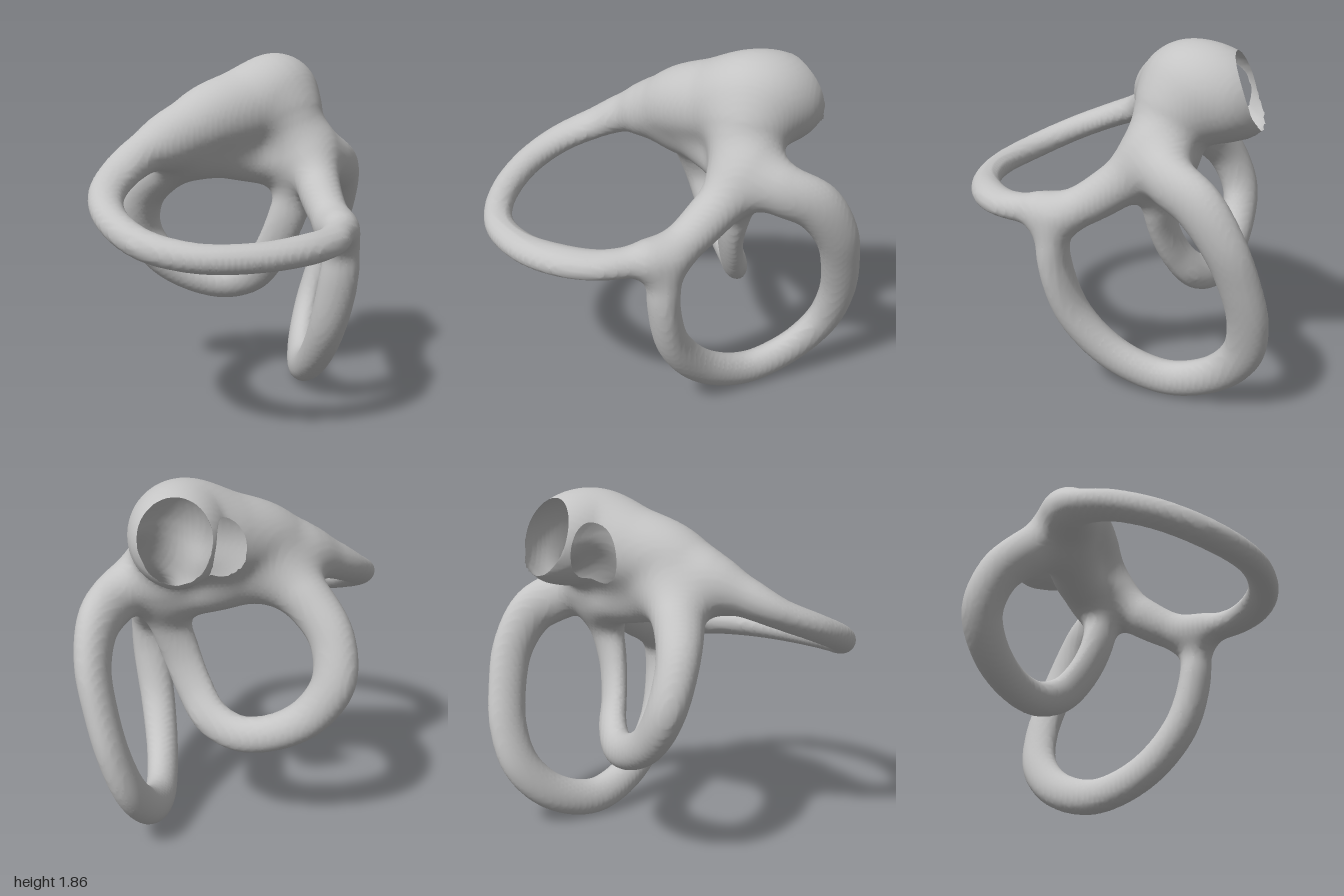
import * as THREE from 'three';
import { mergeVertices } from 'three/addons/utils/BufferGeometryUtils.js';

// Each part is a centreline of points [x, y, z, radius, flatness]; flatness scales the
// thickness along the part's plane normal. Parts melt together where they meet.
const PARTS = {
  centralChamber: {
    normal: [0, 1, 0],
    points: [
      [-0.28, 1.41, 0.2, 0.14], [-0.19, 1.5, 0, 0.2], [-0.11, 1.55, -0.2, 0.23],
      [-0.04, 1.61, -0.39, 0.25], [-0.1, 1.6, -0.5, 0.235], [-0.17, 1.56, -0.57, 0.175],
    ],
  },
  chamberFloor: {
    normal: [0, 1, 0],
    points: [
      [-0.27, 1.36, 0.04, 0.12], [-0.16, 1.32, -0.1, 0.13], [-0.05, 1.29, -0.24, 0.135],
      [0.08, 1.27, -0.34, 0.14], [0.2, 1.26, -0.37, 0.135],
    ],
  },
  sharedStem: {
    normal: [0, 1, 0],
    points: [
      [0.08, 1.48, -0.38, 0.18], [0.25, 1.26, -0.35, 0.13], [0.38, 1.115, -0.235, 0.112],
      [0.5, 1.025, -0.13, 0.1], [0.6, 1.0, -0.03, 0.08],
    ],
  },
  frontLoop: {
    normal: [0.315, 0.924, 0.215],
    points: [
      [-0.3, 1.41, 0.2, 0.13], [-0.335, 1.36, 0.36, 0.115, 0.9], [-0.345, 1.275, 0.54, 0.103, 0.75],
      [-0.265, 1.185, 0.74, 0.09, 0.8], [-0.1, 1.1, 0.875, 0.08, 0.9], [0.14, 1.02, 0.925, 0.076, 0.95],
      [0.4, 0.98, 0.85, 0.075, 0.9], [0.6, 0.975, 0.65, 0.078, 0.85], [0.7, 0.985, 0.42, 0.085, 0.8],
      [0.71, 0.99, 0.22, 0.083, 0.8], [0.64, 1.0, 0.02, 0.078],
    ],
  },
  lowerLoop: {
    normal: [-0.8, 0.26, 0.54],
    points: [
      [0.2, 1.34, -0.45, 0.13], [0.24, 1.26, -0.59, 0.135, 0.8], [0.2, 1.17, -0.76, 0.128, 0.75],
      [0.13, 0.99, -0.865, 0.114, 0.75], [0.05, 0.78, -0.895, 0.106, 0.75], [-0.02, 0.56, -0.885, 0.104, 0.75],
      [-0.05, 0.35, -0.815, 0.104, 0.75], [0.0, 0.18, -0.66, 0.102, 0.75], [0.14, 0.1, -0.44, 0.1, 0.8],
      [0.33, 0.2, -0.24, 0.096, 0.9], [0.495, 0.43, -0.11, 0.088, 1.1], [0.58, 0.7, -0.075, 0.082, 1.25],
      [0.595, 0.87, -0.08, 0.085, 1.1], [0.57, 0.97, -0.09, 0.09],
    ],
  },
  sideLoop: {
    normal: [0.375, -0.27, 0.89],
    points: [
      [-0.28, 1.35, 0.02, 0.15], [-0.47, 1.225, 0.055, 0.125], [-0.62, 1.07, 0.05, 0.115, 0.9],
      [-0.68, 0.87, 0, 0.112, 0.85], [-0.6, 0.69, -0.08, 0.103, 0.85], [-0.45, 0.58, -0.18, 0.095, 0.85],
      [-0.28, 0.547, -0.265, 0.094, 0.8], [-0.12, 0.605, -0.305, 0.098, 0.7], [-0.005, 0.735, -0.305, 0.1, 0.62],
      [0.085, 0.915, -0.315, 0.103, 0.65], [0.13, 1.1, -0.35, 0.11, 0.75], [0.1, 1.3, -0.39, 0.12],
    ],
  },
};

// Ellipsoids that cut the two openings in the rear of the chamber: centre, radii
const OPENINGS = [
  { c: new THREE.Vector3(-0.3, 1.7, -0.71), r: new THREE.Vector3(0.23, 0.27, 0.22) },
  { c: new THREE.Vector3(-0.35, 1.52, -0.37), r: new THREE.Vector3(0.15, 0.22, 0.115) },
];

const BLEND = 0.1;
const CELL = 0.02;
const STEPS = 8;

// Smooth centreline, radius and flatness, resampled into short segments
function makeChain({ points, normal }) {
  const path = new THREE.CatmullRomCurve3(points.map((p) => new THREE.Vector3(p[0], p[1], p[2])));
  const girth = new THREE.CatmullRomCurve3(
    points.map((p) => new THREE.Vector3(p[3], p[4] ?? 1, 0)), false, 'catmullrom');
  const n = (points.length - 1) * STEPS;
  const samples = Array.from({ length: n + 1 }, (_, i) => {
    const g = girth.getPoint(i / n);
    return [...path.getPoint(i / n).toArray(), g.x, 1 / (g.y * g.y) - 1];
  });
  return { samples, normal };
}

// Distance to a tapered chain of capsules with flattened cross-sections
function chainDistance({ samples, normal }, x, y, z) {
  let best = Infinity;
  for (let i = 0; i < samples.length - 1; i++) {
    const a = samples[i], b = samples[i + 1];
    const dx = b[0] - a[0], dy = b[1] - a[1], dz = b[2] - a[2];
    const px = x - a[0], py = y - a[1], pz = z - a[2];
    let t = (px * dx + py * dy + pz * dz) / (dx * dx + dy * dy + dz * dz);
    t = t < 0 ? 0 : t > 1 ? 1 : t;
    const ex = px - t * dx, ey = py - t * dy, ez = pz - t * dz;
    const across = ex * normal[0] + ey * normal[1] + ez * normal[2];
    const squash = (a[4] + t * (b[4] - a[4])) * across * across;
    const d = Math.sqrt(ex * ex + ey * ey + ez * ez + squash) - a[3] - t * (b[3] - a[3]);
    if (d < best) best = d;
  }
  return best;
}

function smoothMin(a, b) {
  const h = Math.max(BLEND - Math.abs(a - b), 0) / BLEND;
  return Math.min(a, b) - h * h * BLEND * 0.25;
}

// Skin a distance field with one vertex per crossed grid cell
function skinField(field, min, max) {
  const size = [0, 1, 2].map((a) => Math.ceil((max[a] - min[a]) / CELL) + 1);
  const step = [1, size[0], size[0] * size[1]];
  const values = new Float32Array(step[2] * size[2]);
  const cellVertex = new Int32Array(values.length).fill(-1);
  const positions = [], index = [];
  const eachCell = (from, to, visit) => {
    for (let k = from; k < size[2] - to; k++)
      for (let j = from; j < size[1] - to; j++)
        for (let i = from; i < size[0] - to; i++) visit([i, j, k], i + j * step[1] + k * step[2]);
  };
  eachCell(0, 0, (g, id) => {
    values[id] = field(min[0] + g[0] * CELL, min[1] + g[1] * CELL, min[2] + g[2] * CELL);
  });
  // vertex = mean of the crossings on the cell's twelve edges
  eachCell(0, 1, (g, id) => {
    const sum = [0, 0, 0];
    let count = 0;
    for (let a = 0; a < 3; a++) {
      const u = (a + 1) % 3, v = (a + 2) % 3;
      for (let c = 0; c < 4; c++) {
        const cu = c & 1, cv = c >> 1;
        const s = id + cu * step[u] + cv * step[v];
        const f0 = values[s], f1 = values[s + step[a]];
        if (f0 < 0 === f1 < 0) continue;
        sum[a] += f0 / (f0 - f1);
        sum[u] += cu;
        sum[v] += cv;
        count++;
      }
    }
    if (!count) return;
    cellVertex[id] = positions.length / 3;
    for (let a = 0; a < 3; a++) positions.push(min[a] + (g[a] + sum[a] / count) * CELL);
  });
  // one quad around every crossed grid edge
  eachCell(1, 1, (g, id) => {
    for (let a = 0; a < 3; a++) {
      const inside = values[id] < 0;
      if (inside === values[id + step[a]] < 0) continue;
      const u = step[(a + 1) % 3], v = step[(a + 2) % 3];
      const q = [id - u - v, id - v, id, id - u].map((c) => cellVertex[c]);
      if (!inside) q.reverse();
      index.push(q[0], q[1], q[2], q[0], q[2], q[3]);
    }
  });
  const geometry = new THREE.BufferGeometry();
  geometry.setAttribute('position', new THREE.Float32BufferAttribute(positions, 3));
  geometry.setIndex(index);
  geometry.computeVertexNormals();
  return geometry;
}

export function createModel() {
  const names = Object.keys(PARTS);
  const chains = names.map((name) => makeChain(PARTS[name]));
  const field = (x, y, z) => chains.reduce((d, c) => smoothMin(d, chainDistance(c, x, y, z)), 10);
  const skin = skinField(field, [-0.9, -0.08, -1.1], [0.9, 1.98, 1.1]);
  const pos = skin.attributes.position;
  // Find the opening each vertex falls in, and pull it out to the rim
  const p = new THREE.Vector3(), q = new THREE.Vector3();
  const cut = new Uint8Array(pos.count);
  for (let i = 0; i < pos.count; i++) {
    p.fromBufferAttribute(pos, i);
    OPENINGS.forEach(({ c, r }, k) => {
      const len = q.copy(p).sub(c).divide(r).length();
      if (len >= 1 || cut[i]) return;
      cut[i] = k + 1;
      p.sub(c).divideScalar(len).add(c);
    });
    pos.setXYZ(i, p.x, p.y, p.z);
  }
  // Share the triangles out to the nearest part, leaving the openings empty
  const faces = names.map(() => []);
  const idx = skin.index.array;
  for (let i = 0; i < idx.length; i += 3) {
    const tri = [idx[i], idx[i + 1], idx[i + 2]];
    if (tri.every((v) => cut[v])) continue;
    p.fromBufferAttribute(pos, tri[0]);
    const d = chains.map((c) => chainDistance(c, p.x, p.y, p.z));
    faces[d.indexOf(Math.min(...d))].push(...tri);
  }
  const grey = new THREE.MeshStandardMaterial({ color: 0xc4c4c4, side: THREE.DoubleSide });
  grey.name = 'plainGrey';
  const group = new THREE.Group();
  group.name = 'loopedChamber';
  names.forEach((name, k) => {
    const part = skin.clone().setIndex(faces[k]);
    const mesh = new THREE.Mesh(mergeVertices(part.toNonIndexed(), 1e-5), grey);
    mesh.name = name;
    group.add(mesh);
  });
  return group;
}
